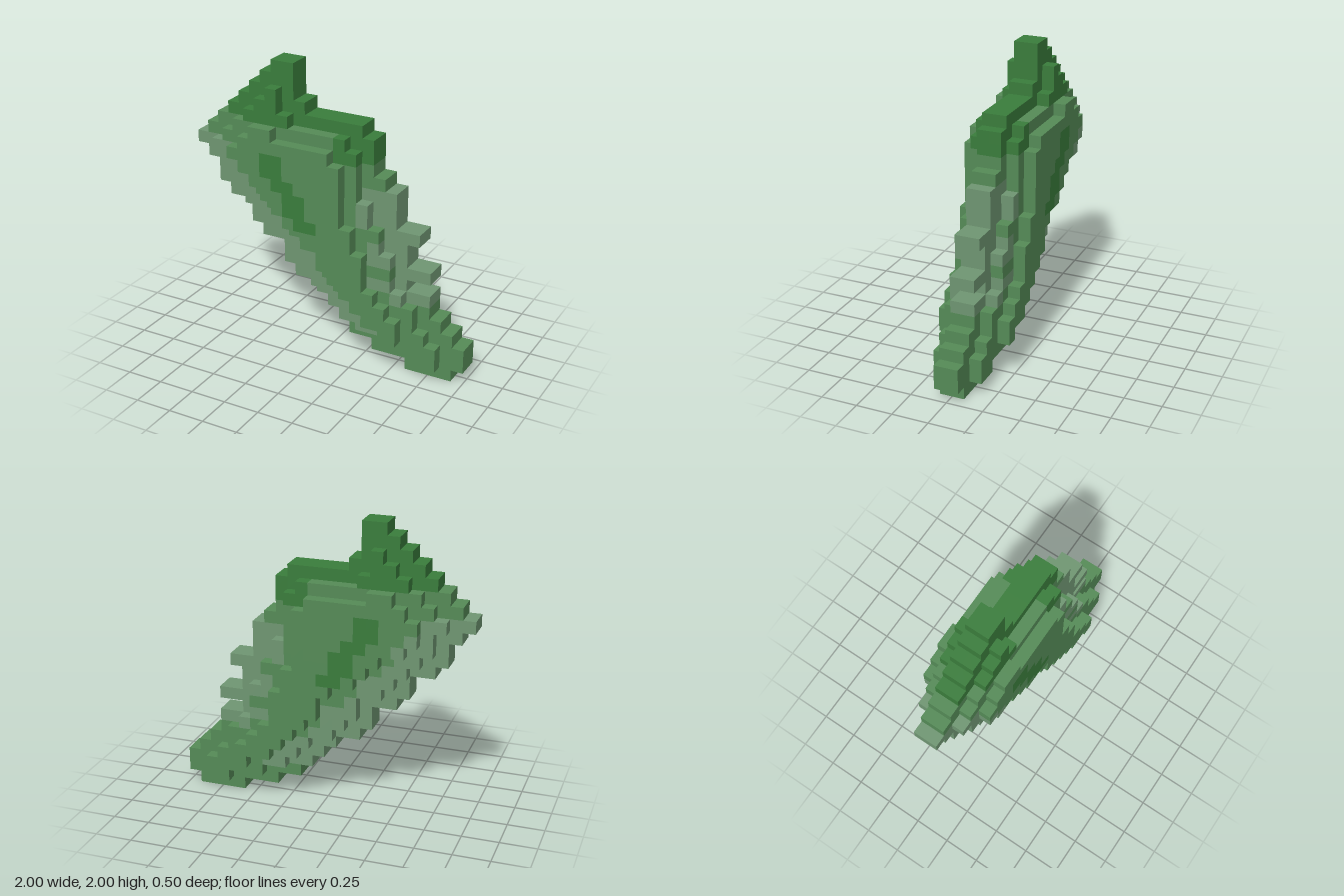
import * as THREE from 'three';
import { mergeGeometries } from 'three/addons/utils/BufferGeometryUtils.js';

const S = 1 / 12; // voxel edge

// Each slab: first row, then [start, end) columns for every row going up
const SLABS = [
  { row: 0, spans: [[19, 23], [16, 24], [14, 24], [13, 23], [12, 22], [11, 21], [9, 21], [8, 19],
    [8, 21], [6, 19], [5, 19], [5, 20], [3, 18], [2, 18], [2, 18], [1, 17],
    [0, 16], [1, 16], [2, 16], [3, 15], [4, 10], [5, 9], [6, 9], [7, 9]] },
  { row: 1, spans: [[20, 22], [17, 22], [15, 21], [14, 20], [13, 20], [11, 19], [10, 18],
    [9, 18], [9, 18], [7, 17], [6, 17], [5, 16], [4, 16], [3, 15], [3, 15],
    [2, 15], [3, 15], [4, 14], [5, 9], [6, 8], [7, 8]] },
  { row: 3, spans: [[18, 19], [16, 19], [15, 18], [14, 17], [13, 16], [12, 16], [12, 16],
    [11, 15], [9, 15], [8, 14], [7, 14], [5, 14], [4, 14], [4, 14], [5, 13], [6, 8]] },
];

const TONES = {
  darkGreen: 0x3a7d3c,
  leafGreen: 0x558b57,
  paleGreen: 0x6f9672,
};

// z index runs -3..2; the slabs are mirrored about z = 0
function filled(c, r, k) {
  const slab = SLABS[k >= 0 ? k : -k - 1];
  const span = slab && slab.spans[r - slab.row];
  return !!span && c >= span[0] && c < span[1];
}

function tone(c, r) {
  const [left, right] = SLABS[0].spans[r];
  if (r >= 19 || (r >= 17 && c >= 13)) return 'darkGreen';
  // dark diagonal vein below the tip
  const vein = 8.5 + (14 - r) * 0.65;
  if (r >= 11 && r <= 16 && Math.abs(c - vein) <= 1) return 'darkGreen';
  if (r <= 16 && (c < left + 4 && r >= 3 || c >= right - 3 && r >= 6 && r <= 14)) return 'paleGreen';
  return 'leafGreen';
}

// Face directions with the rotation that turns a +z plane toward them
const FACES = [
  [1, 0, 0, 0, Math.PI / 2], [-1, 0, 0, 0, -Math.PI / 2],
  [0, 1, 0, -Math.PI / 2, 0], [0, -1, 0, Math.PI / 2, 0],
  [0, 0, 1, 0, 0], [0, 0, -1, 0, Math.PI],
];

export function createModel() {
  const group = new THREE.Group();
  group.name = 'leaf';
  const parts = { darkGreen: [], leafGreen: [], paleGreen: [] };

  // Outer faces of the stepped blade
  for (let r = 0; r < 24; r++)
    for (let c = 0; c < 24; c++)
      for (let k = -3; k < 3; k++) {
        if (!filled(c, r, k)) continue;
        for (const [dx, dy, dz, rx, ry] of FACES) {
          if (filled(c + dx, r + dy, k + dz)) continue;
          const face = new THREE.PlaneGeometry(S, S).rotateX(rx).rotateY(ry);
          face.translate(
            -1 + (c + 0.5 + dx / 2) * S,
            (r + 0.5 + dy / 2) * S,
            (k + 0.5 + dz / 2) * S);
          parts[tone(c, r)].push(face);
        }
      }

  for (const [name, faces] of Object.entries(parts)) {
    const mesh = new THREE.Mesh(
      mergeGeometries(faces),
      new THREE.MeshStandardMaterial({ color: TONES[name] }));
    mesh.name = name + 'Blocks';
    group.add(mesh);
  }
  return group;
}
